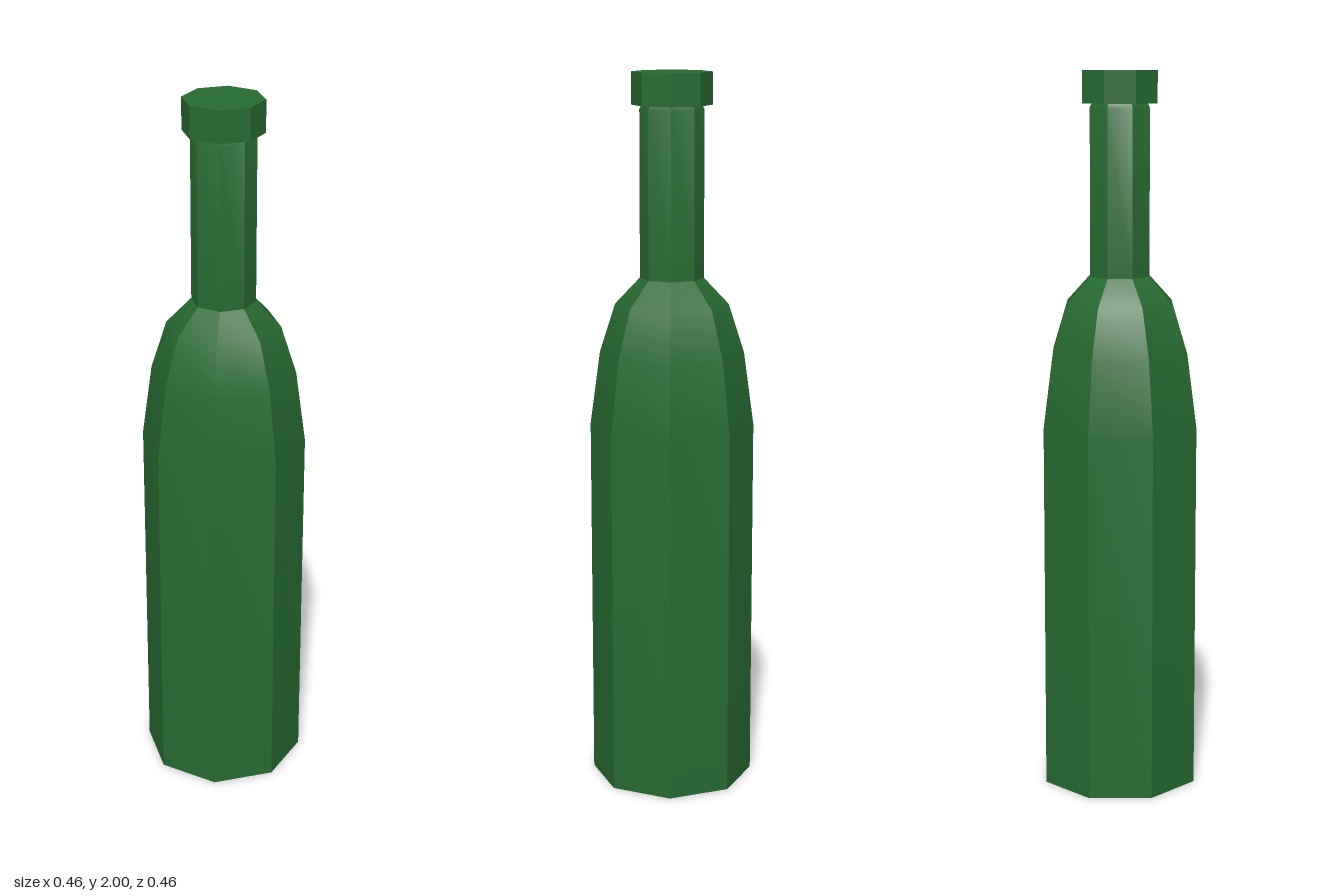
import * as THREE from 'three';
import { toCreasedNormals } from 'three/addons/utils/BufferGeometryUtils.js';

const SIDES = 8;

// Eight-sided turned part: crisp vertical edges, soft bends along the profile.
function turned(name, profile, material) {
  const points = profile.map(([r, y]) => new THREE.Vector2(r, y));
  const geometry = toCreasedNormals(new THREE.LatheGeometry(points, SIDES), Math.PI / 6);
  const mesh = new THREE.Mesh(geometry, material);
  mesh.name = name;
  return mesh;
}

export function createModel() {
  const glass = new THREE.MeshStandardMaterial({ color: 0x266b30 });
  glass.name = 'green glass';

  const bottle = new THREE.Group();
  bottle.name = 'bottle';

  // Closed base, straight sides, rounded shoulder and slim neck
  bottle.add(turned('body', [
    [0, 0], [0.228, 0], [0.228, 1.03], [0.2, 1.235], [0.157, 1.37],
    [0.088, 1.443], [0.088, 1.9], [0.082, 1.912],
  ], glass));

  // Wider closed collar at the mouth
  bottle.add(turned('lip', [
    [0, 1.912], [0.11, 1.912], [0.11, 2], [0, 2],
  ], glass));

  return bottle;
}
